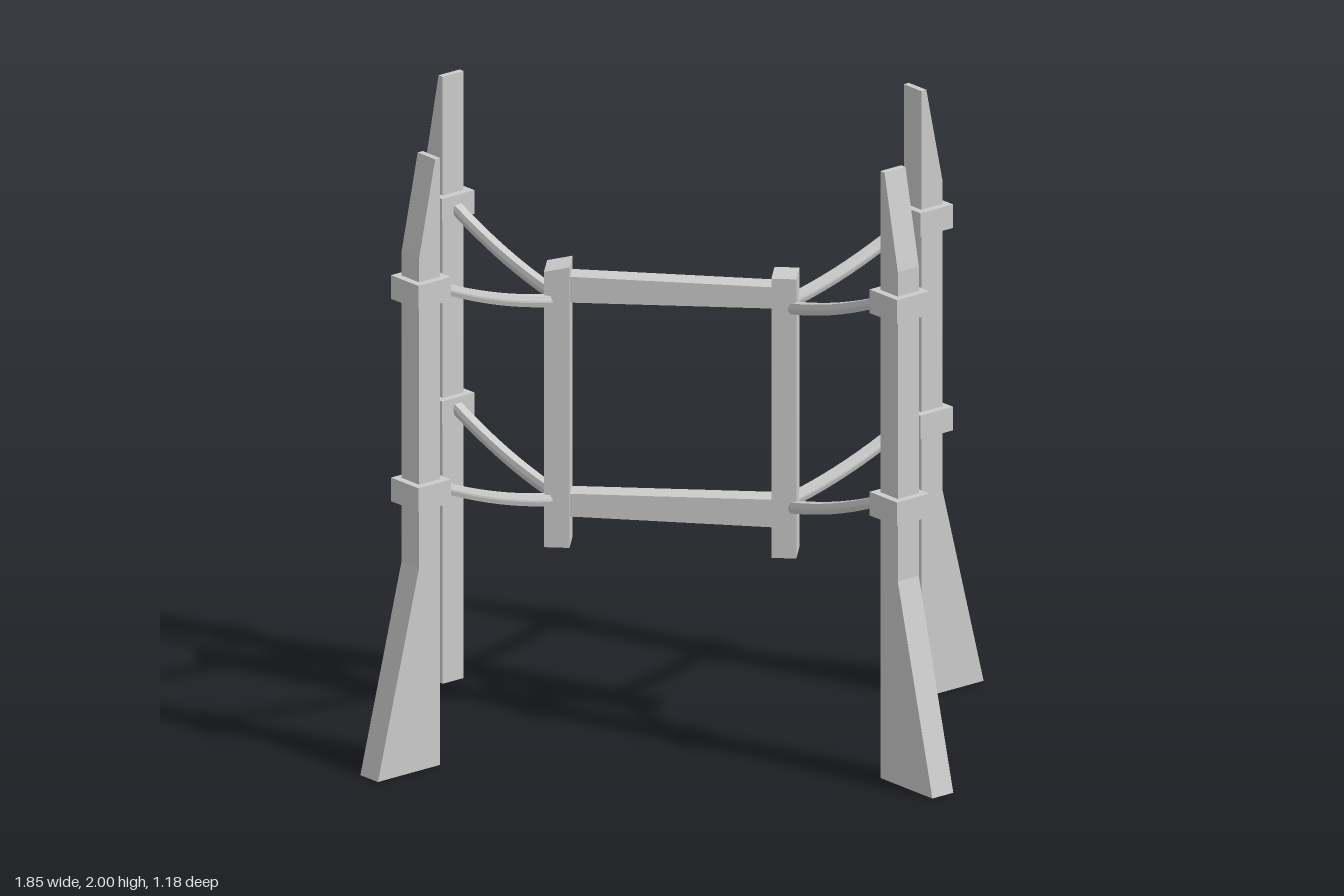
import * as THREE from 'three';

const grey = new THREE.MeshStandardMaterial({ color: 0xcccccc });
grey.name = 'plain grey';

function add(parent, geometry, name, x = 0, y = 0, z = 0) {
  const mesh = new THREE.Mesh(geometry, grey);
  mesh.name = name;
  mesh.position.set(x, y, z);
  parent.add(mesh);
  return mesh;
}

// Flat outline in x and y, extruded symmetrically about z = 0
function slab(points, depth) {
  const shape = new THREE.Shape(points.map(([x, y]) => new THREE.Vector2(x, y)));
  return new THREE.ExtrudeGeometry(shape, { depth, bevelEnabled: false }).translate(0, 0, -depth / 2);
}

// Ridged bar running inward along x, bent to a sagging curve
function strapGeometry() {
  const start = -0.06, end = -0.555, top = 1.562, mid = 1.447, low = 1.405;
  const section = [[0.019, -0.003], [0.019, 0.003], [0.014, 0.018], [-0.014, 0.018],
    [-0.019, 0.003], [-0.019, -0.003], [-0.014, -0.018], [0.014, -0.018]];
  const shape = new THREE.Shape(section.map(([x, y]) => new THREE.Vector2(x, y)));
  const geo = new THREE.ExtrudeGeometry(shape, { depth: start - end, steps: 10, bevelEnabled: false });
  geo.rotateY(-Math.PI / 2).translate(start, 0, 0);
  const p = geo.attributes.position;
  for (let i = 0; i < p.count; i++) {
    const t = (p.getX(i) - start) / (end - start), s = 1 - t;
    p.setY(i, p.getY(i) + s * s * top + 2 * s * t * mid + t * t * low);
  }
  geo.computeVertexNormals();
  return geo;
}

export function createModel() {
  const model = new THREE.Group();
  model.name = 'frameStand';

  // Corner posts set diagonally: flared foot, tapered tip, collars and straps
  const h = 0.0425;
  const postGeo = slab([[-h, 0], [0.21, 0], [h, 0.67], [h, 1.69], [-0.022, 2], [-h, 2]], 2 * h);
  const collarGeo = new THREE.BoxGeometry(0.132, 0.078, 0.132);
  const strapGeo = strapGeometry();
  for (const sx of [-1, 1]) {
    for (const sz of [-1, 1]) {
      const corner = new THREE.Group();
      corner.name = `${sz > 0 ? 'front' : 'back'}${sx > 0 ? 'Left' : 'Right'}Corner`;
      corner.position.set(sx * 0.747, 0, sz * 0.409);
      corner.rotation.y = Math.atan2(-sz, sx);
      add(corner, postGeo, 'post');
      add(corner, collarGeo, 'upperCollar', 0, 1.57);
      add(corner, collarGeo, 'lowerCollar', 0, 0.903);
      add(corner, strapGeo, 'upperStrap');
      add(corner, strapGeo, 'lowerStrap', 0, -0.656);
      model.add(corner);
    }
  }

  // Central frame: two uprights and two slightly tapered rails
  add(model, slab([[-0.395, 0.603], [-0.315, 0.603], [-0.315, 1.527], [-0.395, 1.51]], 0.112), 'rightUpright');
  add(model, slab([[0.315, 0.59], [0.393, 0.59], [0.393, 1.51], [0.315, 1.51]], 0.112), 'leftUpright');
  add(model, slab([[-0.32, 1.405], [0.32, 1.405], [0.32, 1.475], [-0.32, 1.49]], 0.075), 'topRail');
  add(model, slab([[-0.32, 0.7], [0.32, 0.684], [0.32, 0.775], [-0.32, 0.775]], 0.075), 'bottomRail');

  return model;
}
